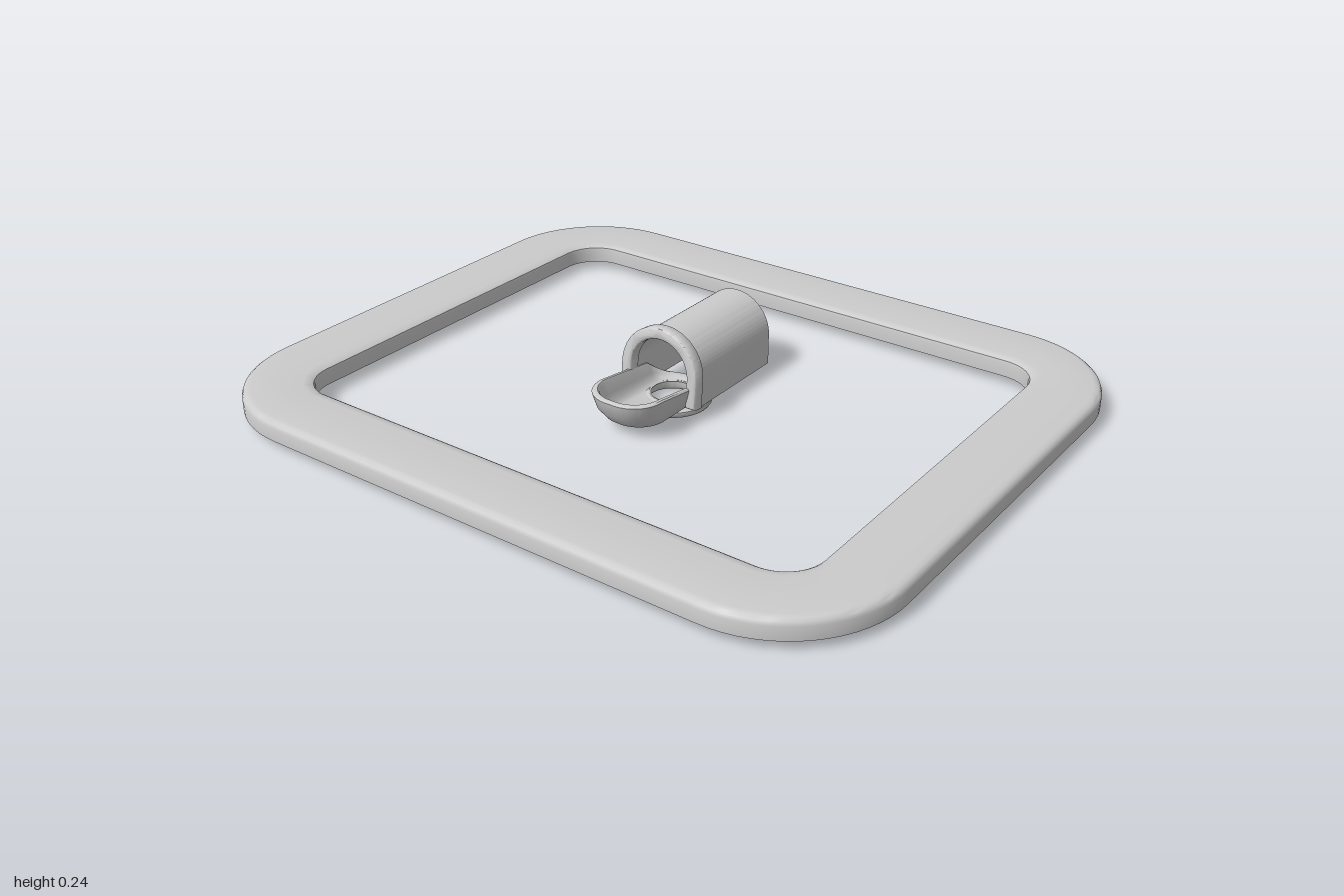
import * as THREE from 'three';
import { toCreasedNormals } from 'three/addons/utils/BufferGeometryUtils.js';

const material = new THREE.MeshStandardMaterial({ color: 0xcccccc, side: THREE.DoubleSide });

// Rounded rectangle outline at height y, always with the same number of points
function outline(x0, x1, hz, r, y) {
  const pts = [], n = 16;
  const corners = [[x1 - r, hz - r], [x0 + r, hz - r], [x0 + r, r - hz], [x1 - r, r - hz]];
  corners.forEach(([cx, cz], q) => {
    for (let k = 0; k <= n; k++) {
      const a = (q + k / n) * Math.PI / 2;
      pts.push(new THREE.Vector3(cx + r * Math.cos(a), y, cz + r * Math.sin(a)));
    }
  });
  return pts;
}

// Skin joining a series of closed outlines
function loft(rings) {
  const n = rings[0].length, index = [];
  for (let i = 0; i < rings.length - 1; i++) {
    for (let j = 0; j < n; j++) {
      const a = i * n + j, b = i * n + (j + 1) % n;
      index.push(a, a + n, b, b, a + n, b + n);
    }
  }
  const g = new THREE.BufferGeometry().setFromPoints(rings.flat());
  g.setIndex(index);
  return toCreasedNormals(g, 0.7);
}

// Upside-down U section swept along x
function arch(outer, inner, foot, length, bevel) {
  const s = new THREE.Shape(), cy = 0.115;
  s.moveTo(outer, foot);
  s.lineTo(outer, cy);
  s.absarc(0, cy, outer, 0, Math.PI, false);
  s.lineTo(-outer, foot);
  s.lineTo(-inner, foot);
  s.lineTo(-inner, cy);
  s.absarc(0, cy, inner, Math.PI, 0, true);
  s.lineTo(inner, foot);
  const g = new THREE.ExtrudeGeometry(s, {
    depth: length, curveSegments: 32, bevelEnabled: bevel > 0,
    bevelSize: bevel, bevelThickness: bevel, bevelSegments: 4,
  });
  g.rotateY(Math.PI / 2);
  return toCreasedNormals(g, 0.6);
}

export function createModel() {
  const model = new THREE.Group();
  const add = (name, geometry) => {
    const mesh = new THREE.Mesh(geometry, material);
    mesh.name = name;
    model.add(mesh);
    return mesh;
  };

  // Surround: hollow channel, listed as [inset from the outer edge, height]
  const section = [[0, 0.025], [0, 0.062], [0.004, 0.072], [0.012, 0.078], [0.025, 0.08],
    [0.1, 0.08], [0.17, 0.079], [0.19, 0.077], [0.198, 0.072], [0.2, 0.064], [0.2, 0.025]];
  add('surroundFrame', loft(section.map(([t, y]) =>
    outline(t - 0.83, 0.83 - t, 1 - t, 0.33 - 1.1 * t, y))));

  // Basin: rounded trough whose rim falls away beneath the hood
  const basin = [
    [-0.07, 0.07, 0.07, 0.07, 0.022], [-0.21, 0.09, 0.075, 0.07, 0.022],
    [-0.24, 0.097, 0.088, 0.08, 0.034], [-0.265, 0.1, 0.098, 0.085, 0.065],
    [-0.277, 0.1, 0.104, 0.09, 0.1], [-0.279, 0.1, 0.105, 0.09, 0.108],
    [-0.274, 0.097, 0.101, 0.088, 0.112], [-0.264, 0.09, 0.093, 0.082, 0.112],
    [-0.259, 0.088, 0.09, 0.08, 0.106], [-0.247, 0.085, 0.082, 0.075, 0.07],
    [-0.225, 0.08, 0.074, 0.07, 0.044], [-0.2, 0.075, 0.065, 0.062, 0.034],
    [-0.06, 0.06, 0.06, 0.06, 0.03],
  ].map((p) => outline(...p));
  for (const p of basin.flat()) {
    const fall = THREE.MathUtils.smoothstep(p.x, -0.05, 0.1);
    if (p.y > 0.035) p.y = THREE.MathUtils.lerp(p.y, 0.035, fall);
  }
  add('basin', loft(basin));

  // Drain ring under the basin
  const ring = [[0.065, 0.032], [0.065, 0.012], [0.07, 0.003], [0.078, 0], [0.095, 0],
    [0.104, 0.003], [0.109, 0.01], [0.109, 0.02], [0.1, 0.027], [0.065, 0.032]];
  add('drainRing', toCreasedNormals(new THREE.LatheGeometry(
    ring.map(([r, y]) => new THREE.Vector2(r, y)), 48), 0.8));

  // Hood: open half pipe
  add('hood', arch(0.11, 0.097, 0.025, 0.345, 0)).position.x = -0.035;

  // Collar: rounded lip around the hood's mouth, leaning slightly
  const collar = add('hoodCollar', arch(0.117, 0.1, 0.045, 0.024, 0.008));
  collar.position.set(-0.07, 0, 0);
  collar.rotation.z = -0.09;

  return model;
}
